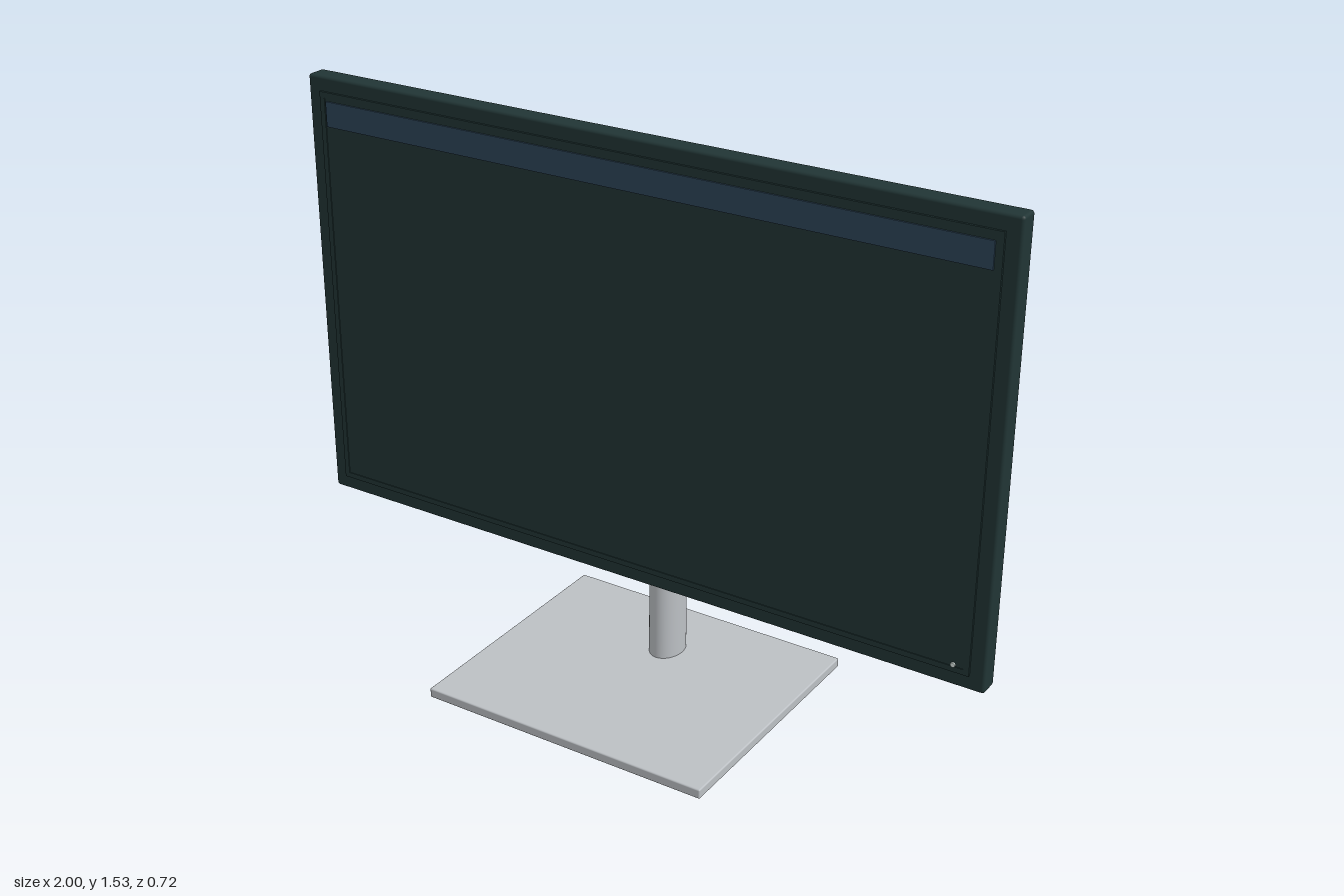
import * as THREE from 'three';
import { RoundedBoxGeometry } from 'three/addons/geometries/RoundedBoxGeometry.js';

export function createModel() {
  const model = new THREE.Group();
  model.name = 'desktopMonitor';

  const mat = (name, color) => {
    const m = new THREE.MeshStandardMaterial({ color });
    m.name = name;
    return m;
  };
  const casing = mat('dark casing', 0x213535);
  const metal = mat('light metal', 0xbcc0c4);
  const barBlue = mat('bar blue', 0x2d4458);
  const lampWhite = mat('lamp white', 0xd8e4e0);

  const add = (name, geometry, material, x, y, z, parent = model) => {
    const mesh = new THREE.Mesh(geometry, material);
    mesh.name = name;
    mesh.position.set(x, y, z);
    parent.add(mesh);
    return mesh;
  };
  const rounded = (w, h, d, r) => new RoundedBoxGeometry(w, h, d, 2, r);

  // Display: housing, raised rim, screen, status bar and power lamp
  const display = new THREE.Group();
  display.name = 'display';
  model.add(display);
  add('housing', rounded(2, 1.2, 0.056, 0.008), casing, 0, 0.932, 0, display);

  const rim = new THREE.Shape();
  rim.moveTo(-0.96, -0.56).lineTo(0.96, -0.56).lineTo(0.96, 0.56).lineTo(-0.96, 0.56).closePath();
  const opening = new THREE.Path();
  opening.moveTo(-0.945, -0.545).lineTo(-0.945, 0.545).lineTo(0.945, 0.545).lineTo(0.945, -0.545).closePath();
  rim.holes.push(opening);
  add('screenRim', new THREE.ExtrudeGeometry(rim, { depth: 0.007, bevelEnabled: false }),
    casing, 0, 0.932, 0.027, display);
  add('screen', new THREE.BoxGeometry(1.89, 1.09, 0.006), casing, 0, 0.932, 0.029, display);
  add('statusBar', new THREE.BoxGeometry(1.88, 0.068, 0.006), barBlue, 0, 1.434, 0.033, display);
  const lamp = add('powerLamp', new THREE.CylinderGeometry(0.006, 0.006, 0.006, 16),
    lampWhite, 0.918, 0.392, 0.034, display);
  lamp.rotation.x = Math.PI / 2;

  // Stand: mount block, oval column with cable port, flat base
  const stand = new THREE.Group();
  stand.name = 'stand';
  model.add(stand);
  add('mountBlock', rounded(0.275, 0.266, 0.102, 0.012), casing, 0, 0.931, -0.104, stand);

  const column = new THREE.CylinderGeometry(1, 1, 0.905, 48).scale(0.046, 1, 0.061);
  add('column', column, metal, 0, 0.4785, -0.155, stand);

  const port = new THREE.CylinderGeometry(1, 1, 0.108, 32).rotateZ(Math.PI / 2).scale(1, 0.038, 0.017);
  add('cablePort', port, casing, 0, 0.389, -0.155, stand);

  add('base', rounded(0.838, 0.027, 0.724, 0.004), metal, 0, 0.0175, 0, stand);

  // Feet under the base corners
  for (const x of [-0.36, 0.36]) {
    for (const z of [-0.285, 0.285]) {
      add('foot', new THREE.CylinderGeometry(0.025, 0.025, 0.008, 24), casing, x, 0.004, z, stand);
    }
  }

  return model;
}
